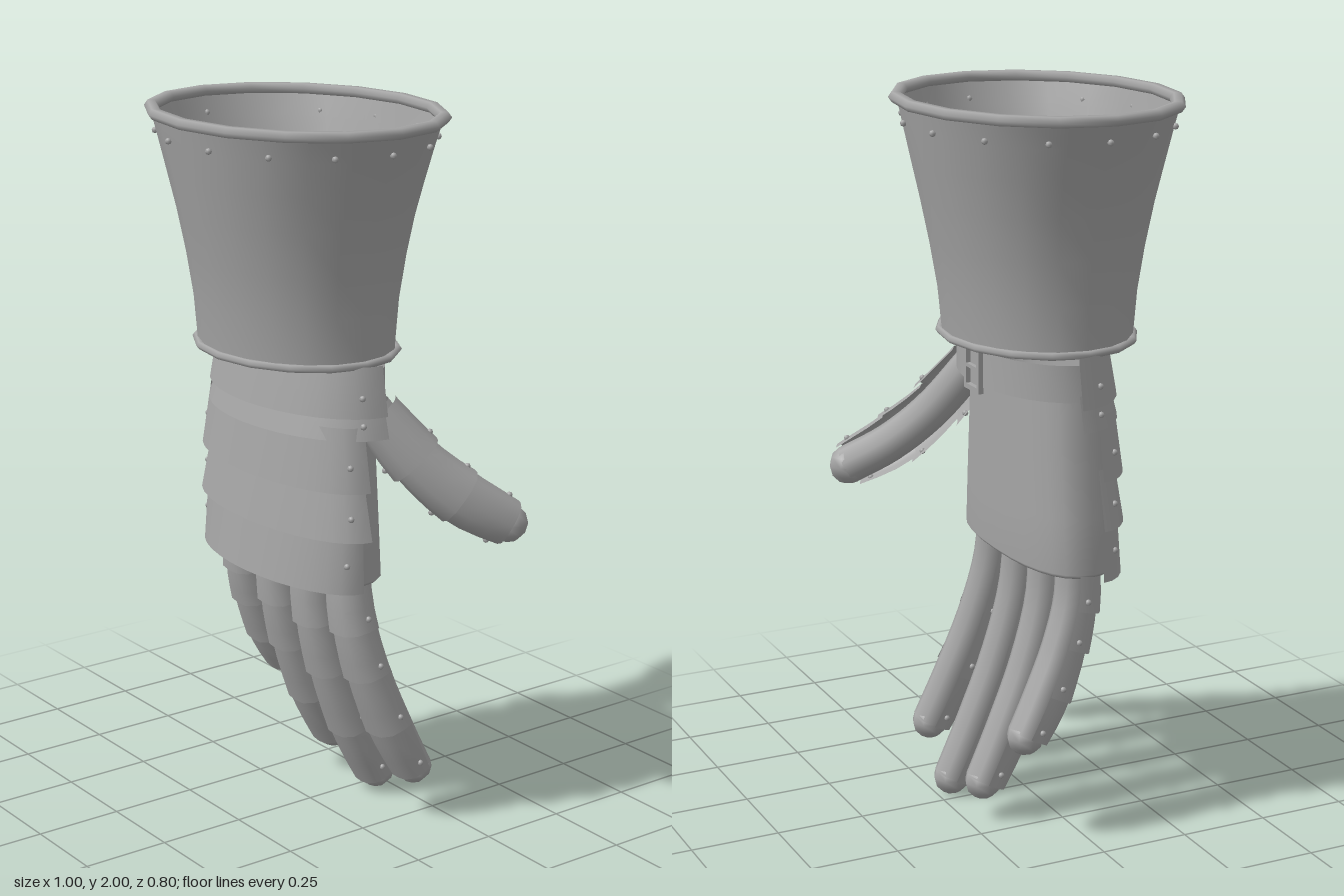
import * as THREE from 'three';
import { mergeVertices } from 'three/addons/utils/BufferGeometryUtils.js';

const steel = new THREE.MeshStandardMaterial({ color: 0xa6a6a6, side: THREE.DoubleSide });
steel.name = 'steel';

const V = (x, y, z) => new THREE.Vector3(x, y, z);
const lerp = THREE.MathUtils.lerp;

function add(parent, name, geometry) {
  const mesh = new THREE.Mesh(geometry, steel);
  mesh.name = name;
  parent.add(mesh);
  return mesh;
}

// Smooth surface from a rule f(u, v) -> Vector3
function sheet(nu, nv, f) {
  const pos = [], index = [];
  for (let j = 0; j <= nv; j++)
    for (let i = 0; i <= nu; i++) pos.push(...f(i / nu, j / nv, j).toArray());
  for (let j = 0; j < nv; j++)
    for (let i = 0; i < nu; i++) {
      const a = j * (nu + 1) + i, b = a + nu + 1;
      index.push(a, b, a + 1, b, b + 1, a + 1);
    }
  let g = new THREE.BufferGeometry();
  g.setAttribute('position', new THREE.Float32BufferAttribute(pos, 3));
  g.setIndex(index);
  g = mergeVertices(g, 1e-5);
  g.computeVertexNormals();
  return g;
}

function rivet(parent, x, y, z) {
  add(parent, 'rivet', new THREE.SphereGeometry(0.009, 6, 4)).position.set(x, y, z);
}

const CX = -0.038, CZ = 0.02;
const oval = (a, y, rx, rz) => V(CX + rx * Math.sin(a), y, CZ + rz * Math.cos(a));

// Rolled rim around an oval
function rim(parent, name, y, rx, rz, r) {
  add(parent, name, sheet(16, 6, (u, v) => {
    const a = u * Math.PI * 2, b = v * Math.PI * 2, d = r * Math.cos(b);
    return oval(a, y + 0.8 * r * Math.sin(b), rx + d, rz + d);
  }));
}

function buildCuff() {
  const cuff = new THREE.Group();
  cuff.name = 'cuff';
  // y, half width, half depth
  const rows = [[1.35, 0.308, 0.248], [1.48, 0.311, 0.262], [1.6, 0.325, 0.283],
    [1.72, 0.35, 0.307], [1.82, 0.382, 0.328], [1.91, 0.414, 0.346], [1.985, 0.445, 0.36]];
  add(cuff, 'cuffWall', sheet(20, rows.length - 1, (u, v, j) => oval(u * Math.PI * 2, ...rows[j])));
  rim(cuff, 'topRim', 1.984, 0.443, 0.36, 0.02);
  rim(cuff, 'wristRim', 1.352, 0.311, 0.25, 0.014);
  for (let i = 0; i < 14; i++) {
    const p = oval((i + 0.5) / 14 * Math.PI * 2, 1.925, 0.423, 0.352);
    rivet(cuff, p.x, p.y, p.z);
  }
  return cuff;
}

function buildHand() {
  const hand = new THREE.Group();
  hand.name = 'hand';

  // Glove body, open at the wrist and closed over the knuckles
  const rows = [[1.26, 0.285, 1], [1.1, 0.3, 1], [0.9, 0.32, 1], [0.75, 0.333, 1],
    [0.738, 0.32, 0.93], [0.738, 0, 0]];
  add(hand, 'palm', sheet(28, rows.length - 1, (u, v, j) => {
    const [y, rx, k] = rows[j], a = u * Math.PI * 2, c = Math.cos(a), s = Math.sin(a);
    const depth = (c > 0 ? 0.125 : 0.14) * k;
    return V(CX + rx * Math.sign(s) * Math.abs(s) ** 0.8, y, 0.03 + depth * Math.sign(c) * Math.abs(c) ** 0.8);
  }));

  // Overlapping plates: top y, bottom y, top half width, bottom half width, rear z
  const lames = [[1.35, 1.215, 0.335, 0.36, -0.02], [1.25, 1.155, 0.34, 0.366, -0.02],
    [1.19, 1.015, 0.335, 0.366, 0.04], [1.04, 0.88, 0.335, 0.374, 0.04], [0.93, 0.73, 0.345, 0.352, 0.05]];
  for (const [y0, y1, w0, w1, back] of lames) {
    const point = (u, v) => {
      const a = (u - 0.5) * Math.PI, w = lerp(w0, w1, v);
      const front = lerp(0.175, 0.198, v);
      return V(CX + w * Math.sin(a), lerp(y0, y1, v), back + (front - back) * Math.cos(a));
    };
    add(hand, 'handPlate', sheet(16, 2, point));
    for (const u of [0.1, 0.9]) {
      const p = point(u, 0.6);
      rivet(hand, p.x, p.y, p.z);
    }
  }

  // Wrist strap and its buckle
  add(hand, 'strap', sheet(16, 1, (u, v) => {
    const a = (u - 0.5) * Math.PI;
    return V(CX + 0.32 * Math.sin(a), lerp(1.325, 1.225, v), 0.03 - 0.2 * Math.cos(a));
  }));
  const buckle = new THREE.Group();
  buckle.name = 'buckle';
  buckle.position.set(-0.06, 1.275, -0.178);
  for (const s of [-1, 1]) {
    add(buckle, 'buckleSide', new THREE.BoxGeometry(0.014, 0.13, 0.014)).position.x = s * 0.04;
    add(buckle, 'buckleBar', new THREE.BoxGeometry(0.08, 0.014, 0.014)).position.y = s * 0.058;
  }
  add(buckle, 'bucklePin', new THREE.BoxGeometry(0.08, 0.01, 0.012));
  hand.add(buckle);
  return hand;
}

// Gloved digit with half-round plates on the side facing `front`
function buildDigit(name, points, radius, plateRadius, joints, front) {
  const digit = new THREE.Group();
  digit.name = name;
  const curve = new THREE.CatmullRomCurve3(points);
  add(digit, 'gloveTube', new THREE.TubeGeometry(curve, 14, radius, 8));
  add(digit, 'fingertip', new THREE.SphereGeometry(radius, 8, 6)).position.copy(curve.getPointAt(1));
  for (let i = 0; i < joints.length - 1; i++) {
    const t0 = Math.max(0, joints[i] - 0.03), t1 = joints[i + 1];
    const last = i === joints.length - 2;
    const point = (u, v) => {
      const t = lerp(t0, t1, v), T = curve.getTangentAt(t);
      const side = V(0, 0, 0).crossVectors(T, front).normalize();
      const out = V(0, 0, 0).crossVectors(side, T);
      const a = (u - 0.5) * Math.PI * 1.12;
      const r = plateRadius * (last ? lerp(1, 0.86, v * v) : lerp(0.92, 1.08, v));
      const square = 1 + 0.1 * Math.sin(2 * a) ** 2;
      return curve.getPointAt(t).addScaledVector(side, r * square * Math.sin(a))
        .addScaledVector(out, r * square * Math.cos(a));
    };
    add(digit, 'fingerPlate', sheet(8, 3, point));
    for (const u of [0.1, 0.9]) {
      const p = point(u, 0.8);
      rivet(digit, p.x, p.y, p.z);
    }
  }
  return digit;
}

export function createModel() {
  const model = new THREE.Group();
  model.name = 'gauntlet';
  model.add(buildCuff(), buildHand());

  // Name, base x, tip x, tip y, tip z
  const fingers = [['littleFinger', -0.29, -0.33, 0.305, -0.155], ['ringFinger', -0.125, -0.155, 0.115, -0.2],
    ['middleFinger', 0.035, 0.04, 0.054, -0.208], ['indexFinger', 0.2, 0.242, 0.145, -0.185]];
  for (const [name, x0, x1, y1, z1] of fingers) {
    const at = (t, k) => V(lerp(x0, x1, t), lerp(0.78, y1, t), 0.01 + (z1 - 0.01) * k);
    const points = [at(0, 0), at(0.25, 0.07), at(0.52, 0.32), at(0.78, 0.67), at(1, 1)];
    model.add(buildDigit(name, points, 0.052, 0.071, [0.03, 0.27, 0.48, 0.75, 1.02].map(t => Math.min(t, 1)), V(0, 0, 1)));
  }

  const thumb = [V(0.23, 1.21, -0.04), V(0.31, 1.06, -0.14), V(0.375, 0.96, -0.24), V(0.438, 0.89, -0.345)];
  model.add(buildDigit('thumb', thumb, 0.056, 0.076, [0.05, 0.36, 0.68, 1], V(0.8, 0.2, 0.6)));
  return model;
}
